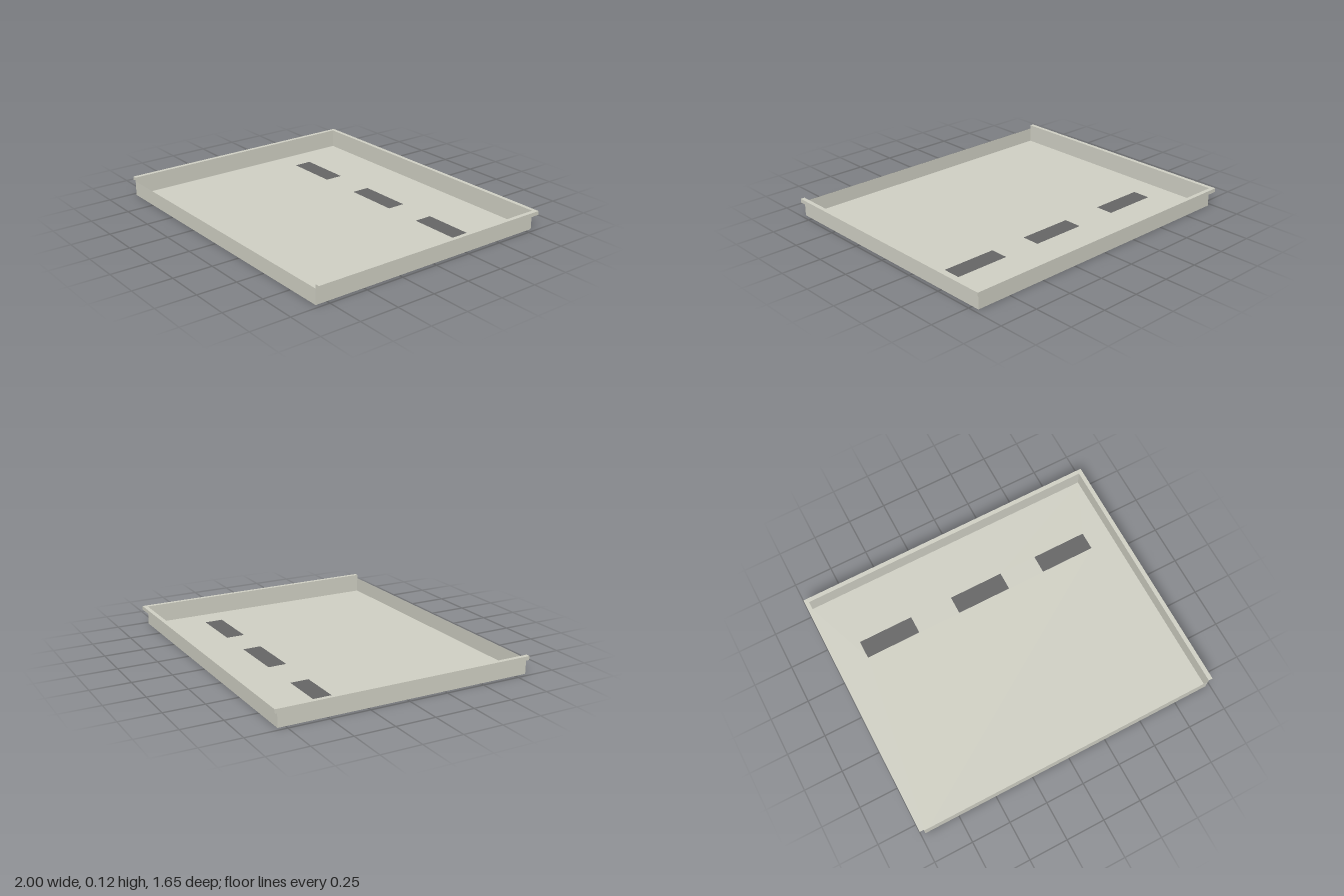
import * as THREE from 'three';

const W = 0.973, BACK = -0.797, FRONT = 0.822; // tray body extents
const RIM = 0.12, LIP = 0.095, OUT = 0.027;    // rim top, lip bottom, overhang

const sheet = new THREE.MeshStandardMaterial({ color: 0xd0d0c4, side: THREE.DoubleSide });
const dark = new THREE.MeshStandardMaterial({ color: 0x666666, side: THREE.DoubleSide });

function addMesh(parent, name, geometry, material) {
  const mesh = new THREE.Mesh(geometry, material);
  mesh.name = name;
  parent.add(mesh);
  return mesh;
}

// Rectangle outline in plan; shape y is -z
function rectangle(target, x0, x1, z0, z1) {
  target.moveTo(x0, -z1);
  target.lineTo(x1, -z1);
  target.lineTo(x1, -z0);
  target.lineTo(x0, -z0);
  target.closePath();
  return target;
}

// One strip of the folded edge, mitred round the left, back and right sides
function foldedStrip([o0, y0], [o1, y1]) {
  const ring = (o, y) => [
    [-W - o, y, FRONT], [-W - o, y, BACK - o], [W + o, y, BACK - o], [W + o, y, FRONT],
  ];
  const a = ring(o0, y0), b = ring(o1, y1), points = [];
  for (let i = 0; i < 3; i++) {
    points.push(a[i], b[i], b[i + 1], a[i], b[i + 1], a[i + 1]);
  }
  const geometry = new THREE.BufferGeometry();
  geometry.setAttribute('position', new THREE.Float32BufferAttribute(points.flat(), 3));
  geometry.computeVertexNormals();
  return geometry;
}

export function createModel() {
  const tray = new THREE.Group();
  tray.name = 'tray';

  // Floor with three rectangular openings, each filled by a dark panel
  const floor = rectangle(new THREE.Shape(), -W, W, BACK, FRONT);
  for (const x of [-0.62, 0.025, 0.635]) {
    const span = [x - 0.18, x + 0.18, -0.452, -0.334];
    floor.holes.push(rectangle(new THREE.Path(), ...span));
    const panel = new THREE.ShapeGeometry(rectangle(new THREE.Shape(), ...span));
    addMesh(tray, 'slotPanel', panel.rotateX(-Math.PI / 2), dark);
  }
  addMesh(tray, 'floor', new THREE.ShapeGeometry(floor).rotateX(-Math.PI / 2), sheet);

  // Low front wall without a rim
  const front = new THREE.PlaneGeometry(2 * W, LIP).translate(0, LIP / 2, FRONT);
  addMesh(tray, 'frontWall', front, sheet);

  // Side and back walls, folded outward and then down
  const profile = [[0, 0], [0, RIM], [OUT, RIM], [OUT, LIP]];
  ['walls', 'rimFlange', 'rimLip'].forEach((name, i) =>
    addMesh(tray, name, foldedStrip(profile[i], profile[i + 1]), sheet));

  return tray;
}
